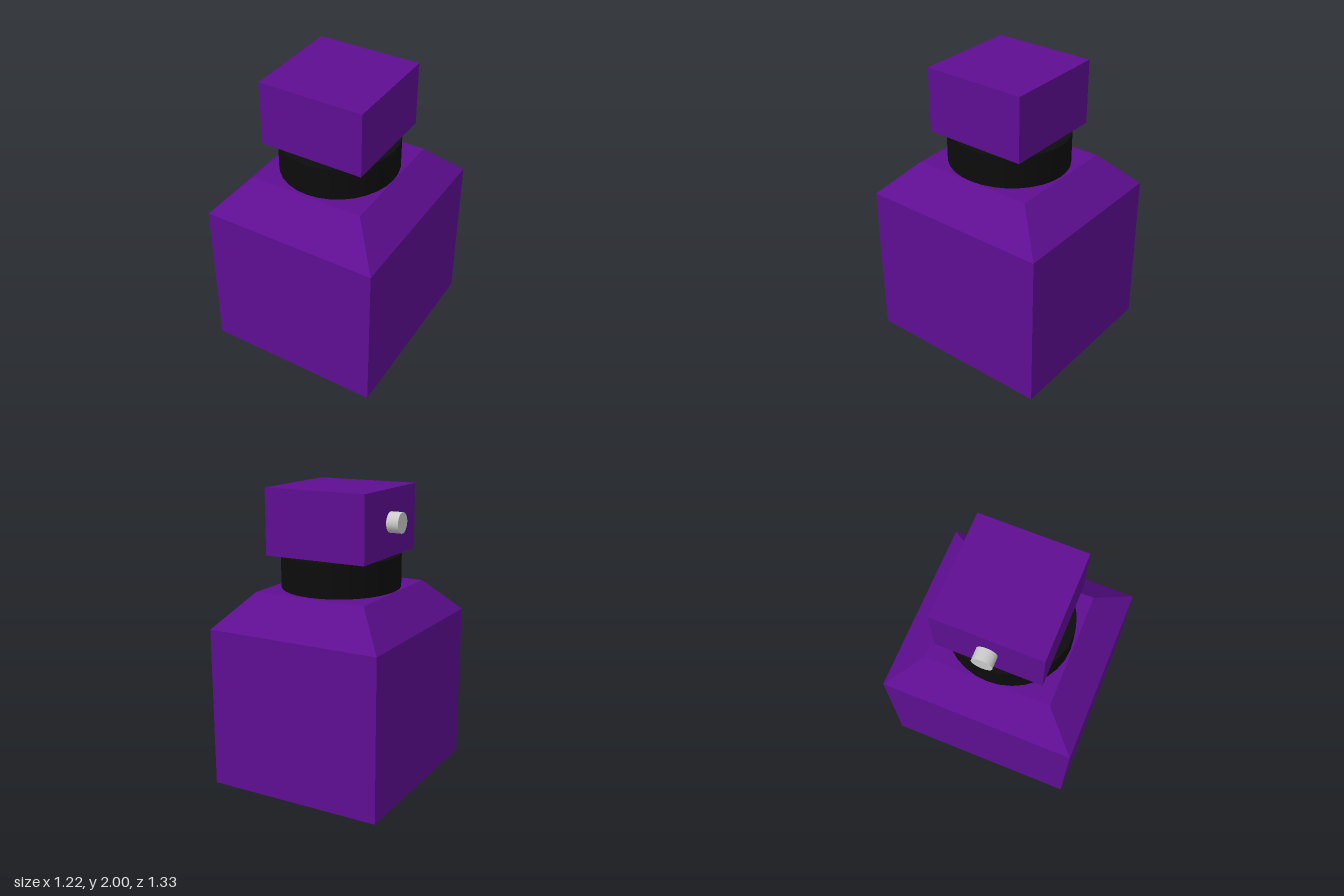
import * as THREE from 'three';

const purple = new THREE.MeshStandardMaterial({ color: 0x5e0e92 });
const black = new THREE.MeshStandardMaterial({ color: 0x0c0c0c });
const grey = new THREE.MeshStandardMaterial({ color: 0xcccccc });

function add(group, name, geometry, material, x, y, z) {
  const mesh = new THREE.Mesh(geometry, material);
  mesh.name = name;
  mesh.position.set(x, y, z);
  group.add(mesh);
  return mesh;
}

// Box standing on y = 0 whose top is scaled to a smaller rectangle
function taperedBox(width, height, depth, topWidth, topDepth) {
  const geometry = new THREE.BoxGeometry(width, height, depth).translate(0, height / 2, 0);
  const p = geometry.attributes.position;
  for (let i = 0; i < p.count; i++) {
    if (p.getY(i) > height / 2) {
      p.setX(i, Math.sign(p.getX(i)) * topWidth / 2);
      p.setZ(i, Math.sign(p.getZ(i)) * topDepth / 2);
    }
  }
  geometry.computeVertexNormals();
  return geometry;
}

export function createModel() {
  const model = new THREE.Group();
  model.name = 'sprayBottle';

  // Square bottle and its sloping shoulder
  add(model, 'body', new THREE.BoxGeometry(1.224, 1.092, 1.328), purple, 0, 0.546, 0);
  add(model, 'shoulder', taperedBox(1.224, 0.231, 1.328, 0.8, 0.866), purple, 0, 1.092, 0);

  // Slightly oval collar
  const collar = new THREE.CylinderGeometry(1, 1, 0.225, 32).scale(0.4, 1, 0.42);
  add(model, 'collar', collar, black, 0, 1.44, 0);

  // Cap with a short spray nozzle on its right side
  add(model, 'cap', new THREE.BoxGeometry(0.728, 0.443, 0.722), purple, 0, 1.7785, 0);
  const nozzle = new THREE.CylinderGeometry(0.069, 0.069, 0.1, 32).rotateZ(Math.PI / 2);
  add(model, 'nozzle', nozzle, grey, -0.398, 1.784, 0);

  return model;
}
